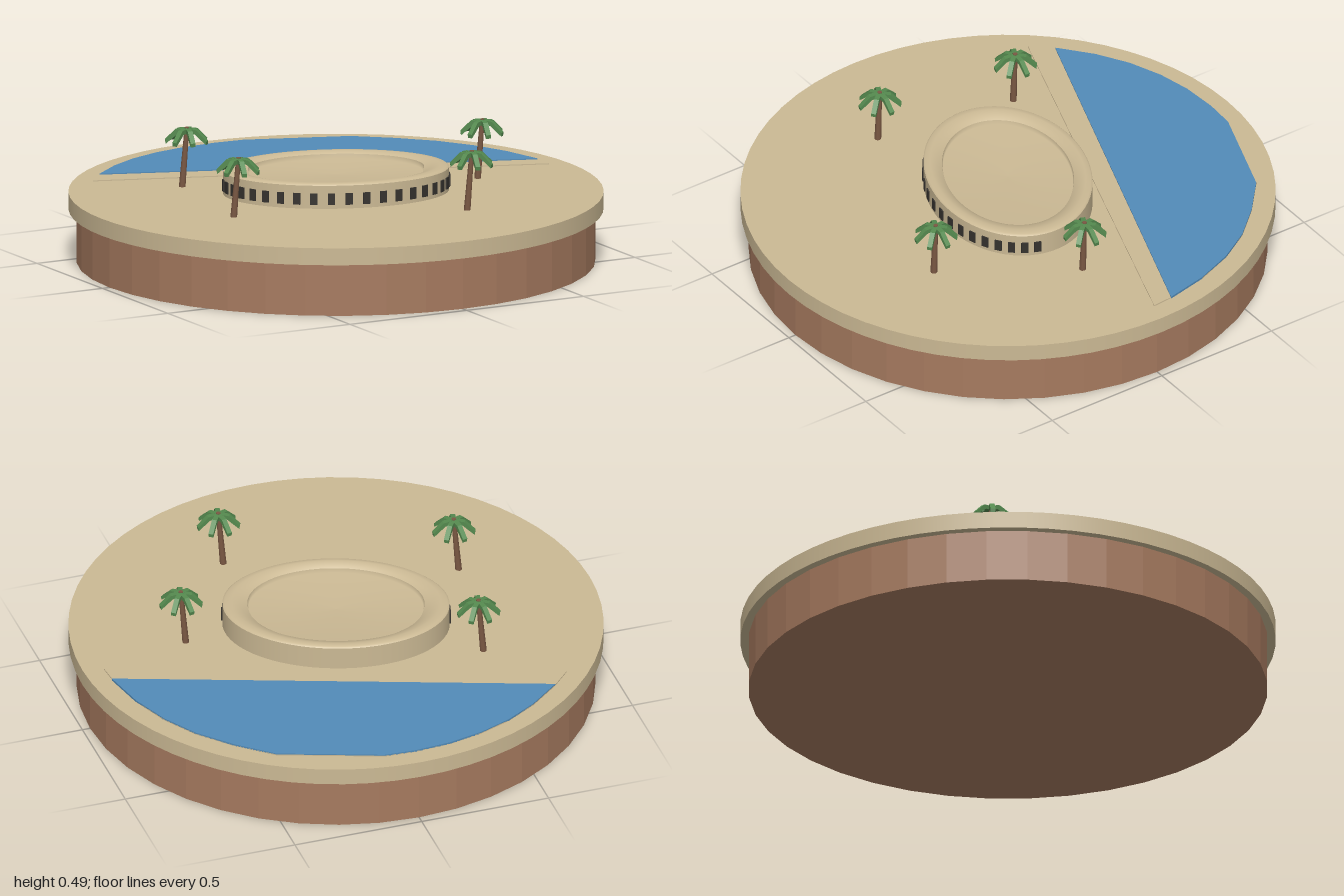
import * as THREE from 'three';

const material = (name, color, extra = {}) => {
  const m = new THREE.MeshStandardMaterial({ color, ...extra });
  m.name = name;
  return m;
};

const GROUND = 0.265;
const TILT = THREE.MathUtils.degToRad(20);

export function createModel() {
  const sand = material('sand', 0xcbb994);
  const bowlSand = sand;
  const rock = material('rock', 0xa67a5f, { flatShading: true });
  const water = material('water', 0x528bb8);
  const dark = material('window dark', 0x35322e);
  const bark = material('bark', 0x7a5843);
  const leaf = material('leaf', 0x558a4f, { flatShading: true });

  const model = new THREE.Group();
  model.name = 'oasisIsland';
  const add = (parent, name, geometry, mat, x = 0, y = 0, z = 0) => {
    const mesh = new THREE.Mesh(geometry, mat);
    mesh.name = name;
    mesh.position.set(x, y, z);
    parent.add(mesh);
    return mesh;
  };

  // Rock plinth and the overhanging sand disc
  add(model, 'rockBase', new THREE.CylinderGeometry(0.97, 0.97, 0.2, 40), rock, 0, 0.1, 0);
  add(model, 'sandDisc', new THREE.CylinderGeometry(1, 1, GROUND - 0.2, 64), sand, 0, (GROUND + 0.2) / 2, 0);

  // Thin plate from a ground outline given as [x, z] points
  const plate = (name, points, mat, y, thickness) => {
    const shape = new THREE.Shape(points.map(([x, z]) => new THREE.Vector2(x, -z)));
    const geometry = new THREE.ExtrudeGeometry(shape, { depth: thickness, bevelEnabled: false });
    geometry.rotateX(-Math.PI / 2);
    add(model, name, geometry, mat, 0, y, 0);
  };
  const shore = [
    [-0.52, -0.765], [-0.4, -0.837], [-0.27, -0.888], [-0.14, -0.917], [0, -0.927], [0.12, -0.92],
    [0.5, -0.782], [0.63, -0.67], [0.74, -0.55], [0.82, -0.42], [0.88, -0.27],
  ];
  plate('beach', [[-0.71, -0.59], [-0.64, -0.665], ...shore, [0.915, -0.1], [0.922, -0.02]], sand, GROUND, 0.004);
  plate('lagoon', [[-0.64, -0.665], ...shore, [0.918, -0.1]], water, GROUND, 0.008);

  // Oval arena: a turned wall, rolled rim and shallow dish, stretched to an ellipse
  const arena = new THREE.Group();
  arena.name = 'arena';
  arena.position.y = GROUND;
  arena.rotation.y = -TILT;
  model.add(arena);
  const A = 0.425, B = 0.307;
  const oval = (profile) => {
    const g = new THREE.LatheGeometry(profile.map(([r, y]) => new THREE.Vector2(r, y)), 64);
    g.scale(A, 1, B);
    return g;
  };
  add(arena, 'arenaWall', oval([[1, 0], [1, 0.088]]), sand);
  add(arena, 'arenaRim', oval([[1, 0.088], [0.98, 0.094], [0.92, 0.097], [0.84, 0.09], [0.77, 0.072]]), sand);
  add(arena, 'arenaDish', oval([[0.78, 0.09], [0.77, 0.072], [0, 0.064]]), bowlSand);

  // Windows along the front half of the wall
  const COUNT = 20;
  for (let i = 0; i <= COUNT; i++) {
    const t = (i / COUNT) * Math.PI;
    const window = add(arena, 'arenaWindow', new THREE.BoxGeometry(0.027, 0.044, 0.009), dark,
      A * Math.cos(t), 0.037, B * Math.sin(t));
    window.rotation.y = Math.atan2(Math.cos(t) / A, Math.sin(t) / B);
  }

  // Palm: leaning trunk with seven drooping fronds
  const frondSide = new THREE.Shape([
    [0, 0.208], [0.035, 0.203], [0.08, 0.166], [0.082, 0.18], [0.042, 0.219], [0, 0.224],
  ].map(([x, y]) => new THREE.Vector2(x, y)));
  const frond = new THREE.ExtrudeGeometry(frondSide, { depth: 0.019, bevelEnabled: false });
  frond.translate(0, 0, -0.0095);
  const trunkPath = new THREE.LineCurve3(new THREE.Vector3(-0.018, 0, -0.004), new THREE.Vector3(0, 0.226, 0));
  const trunk = new THREE.CylinderGeometry(0.009, 0.013, 0.226, 8);
  trunk.translate(0, 0.113, 0);
  trunk.applyMatrix4(new THREE.Matrix4().makeShear(0, 0, -0.08, -0.02, 0, 0).identity());
  // Shear the trunk so that its top stays under the crown
  const p = trunk.attributes.position;
  for (let i = 0; i < p.count; i++) {
    const offset = trunkPath.getPoint(p.getY(i) / 0.226);
    p.setX(i, p.getX(i) + offset.x);
    p.setZ(i, p.getZ(i) + offset.z);
  }

  for (const [x, z] of [[-0.535, 0.21], [-0.445, -0.345], [0.285, 0.53], [0.59, 0.065]]) {
    const palm = new THREE.Group();
    palm.name = 'palm';
    palm.position.set(x, GROUND, z);
    model.add(palm);
    add(palm, 'trunk', trunk, bark);
    for (let k = 0; k < 7; k++) {
      add(palm, 'frond', frond, leaf).rotation.y = (k / 7) * Math.PI * 2;
    }
  }
  return model;
}
